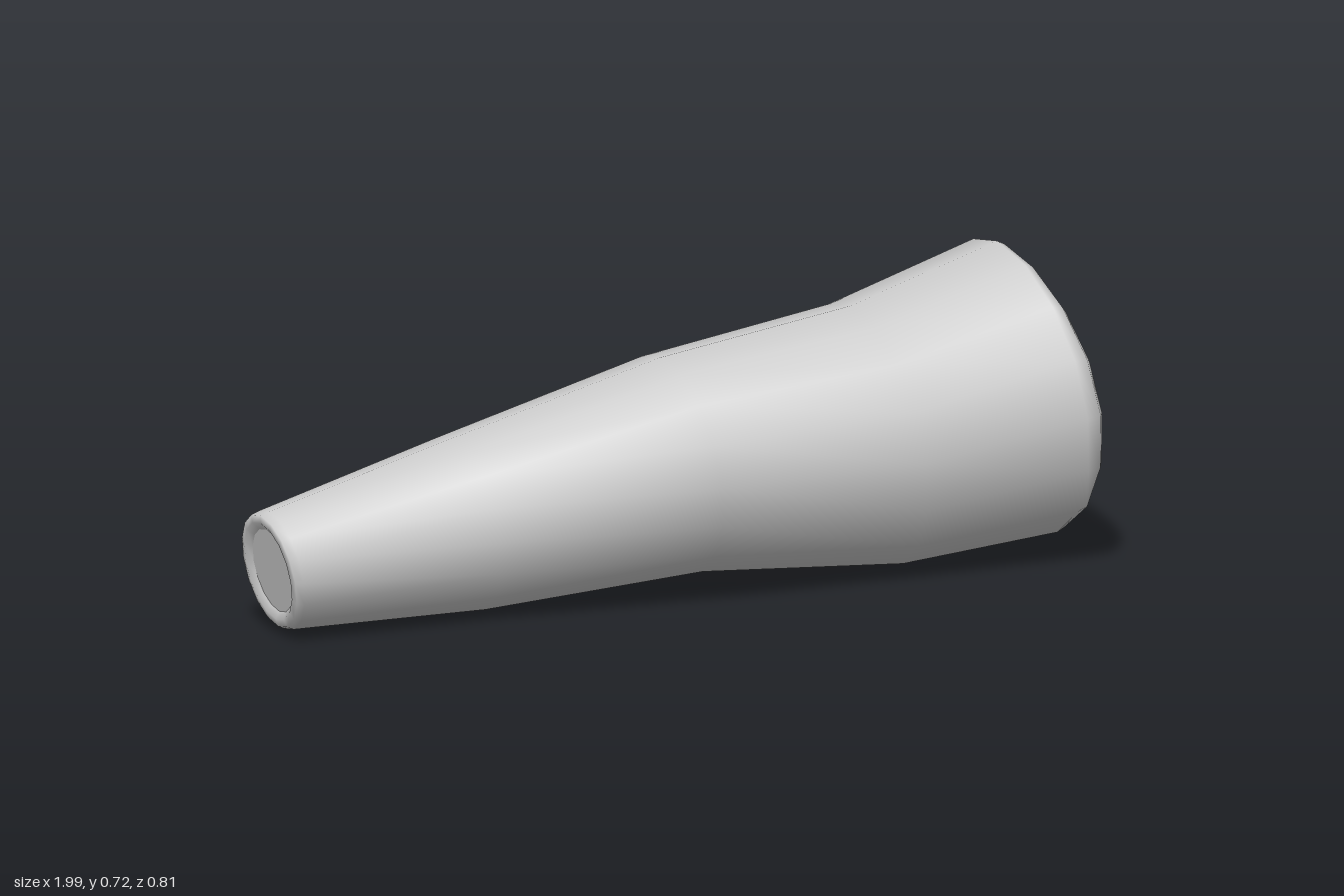
import * as THREE from 'three';

const material = new THREE.MeshStandardMaterial({ color: 0xcccccc });

// Skin a row of ring sections. Each ring: centre c, radius r, spokes u and v, optional bow along x.
function loft(name, rings, sides) {
  const pos = [], index = [];
  rings.forEach(({ c, r, u, v, bow = 0 }, i) => {
    for (let j = 0; j < sides; j++) {
      const a = (j / sides) * Math.PI * 2;
      const p = r * Math.cos(a), q = r * Math.sin(a);
      pos.push(
        c[0] + p * u[0] + q * v[0] - bow * p * p,
        c[1] + p * u[1] + q * v[1],
        c[2] + p * u[2] + q * v[2]
      );
      if (i === rings.length - 1) continue;
      const k = (j + 1) % sides;
      const A = i * sides + j, B = i * sides + k, C = B + sides, D = A + sides;
      index.push(A, B, C, A, C, D);
    }
  });
  const g = new THREE.BufferGeometry();
  g.setAttribute('position', new THREE.Float32BufferAttribute(pos, 3));
  g.setIndex(index);
  g.computeVertexNormals();
  const mesh = new THREE.Mesh(g, material);
  mesh.name = name;
  return mesh;
}

const point = (ring) => ({ ...ring, r: 0 });

export function createModel() {
  const log = new THREE.Group();
  log.name = 'hollowLog';

  // Trunk sections from the thin end to the thick end: x, y, z, radius, tilt, bow
  const trunk = [
    [-0.964, 0.16, 0.028, 0.098, -0.17, 0],
    [-0.976, 0.16, 0.028, 0.115, -0.17, 0],
    [-0.973, 0.16, 0.028, 0.133, -0.17, 0],
    [-0.955, 0.16, 0.028, 0.14, -0.14, 0],
    [-0.475, 0.21, 0.01, 0.203, -0.12, 0],
    [0.03, 0.307, 0.075, 0.254, -0.12, 0],
    [0.535, 0.313, 0.05, 0.306, -0.13, 0],
    [0.925, 0.385, 0.057, 0.346, -0.13, 0.12],
    [0.963, 0.385, 0.057, 0.336, -0.13, 0.3],
    [0.978, 0.385, 0.057, 0.312, -0.13, 0.35],
    [0.955, 0.382, 0.057, 0.28, -0.13, 0.3]
  ].map(([x, y, z, r, tilt, bow]) => ({ c: [x, y, z], r, u: [tilt, 1, 0], v: [0, 0, 1], bow }));
  const thin = trunk[0], thick = trunk[trunk.length - 1];
  log.add(loft('trunkBark', trunk, 16));
  log.add(loft('thinCutFace', [point(thin), thin], 16));
  log.add(loft('thickCutFace', [thick, point(thick)], 16));

  // Broken side branch, bending away from the back: x, y, z, radius, direction of the sideways spoke
  const branch = [
    [0.40, 0.345, -0.13, 0.125, 0.5, -0.87],
    [0.29, 0.335, -0.265, 0.096, 0.72, -0.69],
    [0.205, 0.325, -0.355, 0.096, 0.88, -0.47],
    [0.196, 0.325, -0.367, 0.084, 0.88, -0.47],
    [0.2, 0.325, -0.361, 0.063, 0.88, -0.47]
  ].map(([x, y, z, r, vx, vz]) => ({ c: [x, y, z], r, u: [0, 1, 0], v: [vx, 0, vz] }));
  const tip = branch[branch.length - 1];
  log.add(loft('branchBark', branch, 8));
  log.add(loft('branchCutFace', [tip, point(tip)], 8));

  return log;
}
